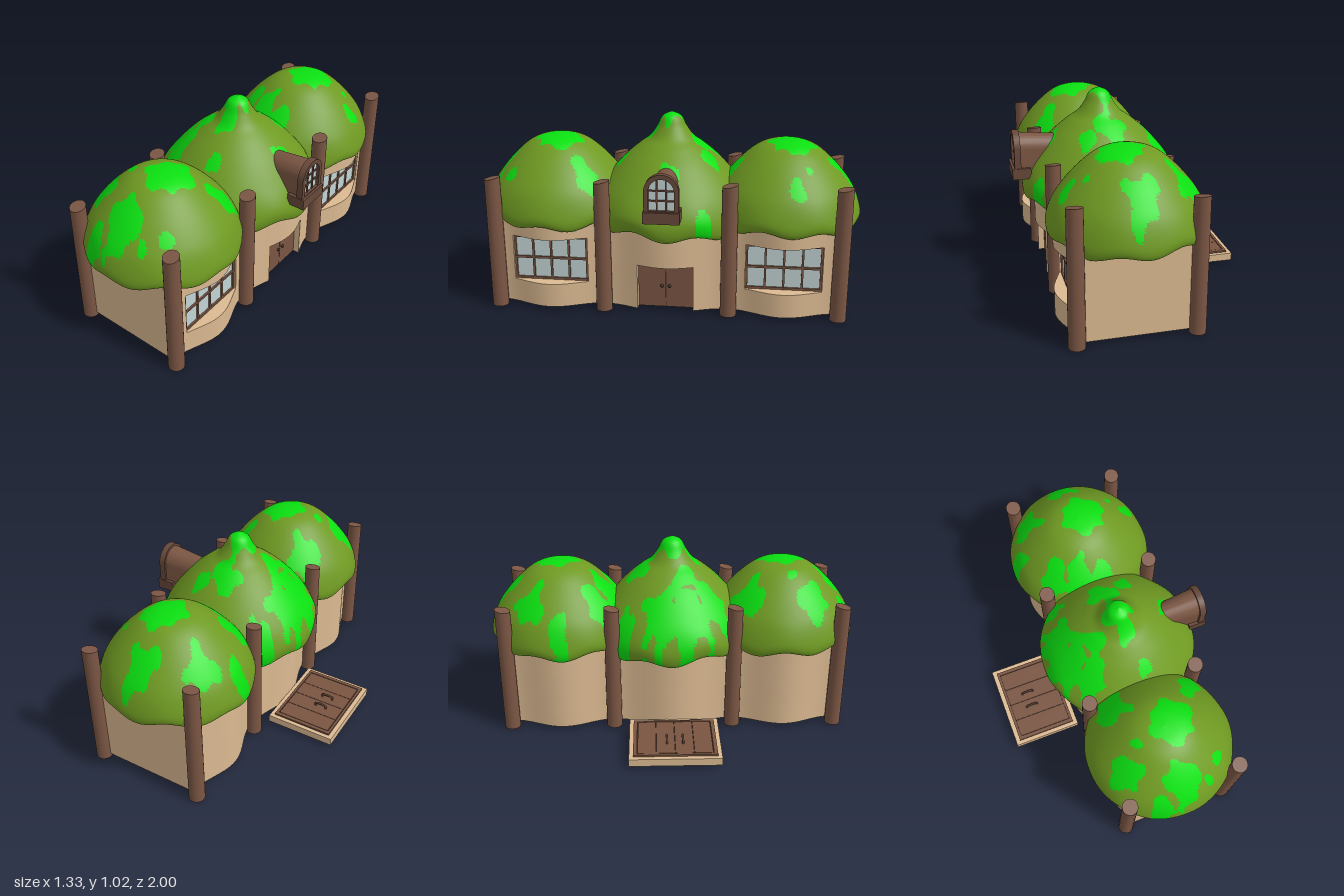
import * as THREE from 'three';
import { mergeVertices, toCreasedNormals } from 'three/addons/utils/BufferGeometryUtils.js';

const material = (name, color, side = THREE.FrontSide) => {
  const m = new THREE.MeshStandardMaterial({ color, side });
  m.name = name;
  return m;
};

export function createModel() {
  const moss = material('moss', 0x6f9a22, THREE.DoubleSide);
  const brightMoss = material('brightMoss', 0x0be011, THREE.DoubleSide);
  const plaster = material('plaster', 0xdcba92);
  const bark = material('bark', 0x7b5644);
  const wood = material('wood', 0x7a5542);
  const trim = material('trim', 0x67483a);
  const glass = material('glass', 0xc2d4d3);
  const iron = material('iron', 0x3a2b25);

  const model = new THREE.Group();
  model.name = 'mossHouse';
  // The row of rooms runs along a slightly turned axis
  const house = new THREE.Group();
  house.name = 'house';
  house.position.x = 0.09;
  house.rotation.y = Math.atan2(0.15, 0.6);
  model.add(house);

  const add = (parent, name, geo, mat, x = 0, y = 0, z = 0) => {
    const mesh = new THREE.Mesh(geo, mat);
    mesh.name = name;
    mesh.position.set(x, y, z);
    parent.add(mesh);
    return mesh;
  };
  const box = (parent, name, mat, w, h, d, x, y, z) =>
    add(parent, name, new THREE.BoxGeometry(w, h, d), mat, x, y, z);

  // Floor plan with bulging sides, optionally notched flat on the +x side
  function plan(half, notch) {
    const bulge = z => 0.28 + 0.075 * (0.5 + 0.5 * Math.cos(Math.PI * z / half));
    const right = [], left = [], n = 28;
    for (let i = 0; i <= n; i++) {
      const z = -half + 2 * half * i / n;
      if (!notch || Math.abs(z) > notch + 0.002) right.push([0.015 + bulge(z), z]);
      left.unshift([0.015 - bulge(z), z]);
    }
    if (notch) {
      const e = 0.015 + bulge(notch), at = right.findIndex(p => p[1] > 0);
      right.splice(at, 0, [e, -notch], [0.287, -notch], [0.287, notch], [e, notch]);
    }
    return new THREE.Shape([...right, ...left].map(p => new THREE.Vector2(p[0], p[1])));
  }
  function wallBand(parent, name, half, y0, y1, notch) {
    let g = new THREE.ExtrudeGeometry(plan(half, notch), { depth: y1 - y0, bevelEnabled: false });
    g.rotateX(-Math.PI / 2);
    g = toCreasedNormals(g, 0.5);
    add(parent, name, g, plaster, 0, y0, 0);
  }

  // Rooms
  for (const [name, z, half, y0, y1, notch] of [
    ['backRoom', -0.618, 0.29, 0.15, 0.4, 0.2],
    ['middleRoom', 0, 0.33, 0.02, 0.27, 0.148],
    ['frontRoom', 0.618, 0.29, 0.15, 0.4, 0.2]]) {
    const room = new THREE.Group();
    room.name = name;
    room.position.z = z;
    house.add(room);
    if (y0 > 0.03) wallBand(room, 'lowerWall', half, 0.02, y0, 0);
    wallBand(room, 'openingWall', half, y0, y1, notch);
    wallBand(room, 'upperWall', half, y1, 0.52, 0);
    if (z === 0) {
      // Double door with knobs
      for (const s of [-1, 1]) {
        box(room, 'doorLeaf', wood, 0.02, 0.246, 0.145, 0.294, 0.145, s * 0.0738);
        add(room, 'doorKnob', new THREE.SphereGeometry(0.009, 12, 8), iron, 0.311, 0.145, s * 0.02);
      }
      box(room, 'doorGap', iron, 0.008, 0.246, 0.004, 0.294, 0.145, 0);
    } else {
      // Window, four panes by two
      box(room, 'windowGlass', glass, 0.008, 0.245, 0.39, 0.29, 0.275, 0);
      for (let i = 0; i < 5; i++)
        box(room, 'windowBar', wood, 0.018, 0.25, 0.011, 0.293, 0.275, -0.193 + i * 0.0965);
      for (const y of [0.156, 0.275, 0.394])
        box(room, 'windowRail', wood, 0.02, 0.012, 0.396, 0.293, y, 0);
    }
  }

  // Tree-trunk posts with slightly slanted tops
  const postGeo = new THREE.CylinderGeometry(0.041, 0.043, 0.72, 24);
  const pp = postGeo.attributes.position;
  for (let i = 0; i < pp.count; i++)
    if (pp.getY(i) > 0) pp.setY(i, 0.357 - pp.getZ(i) * 0.2);
  postGeo.computeVertexNormals();
  for (const x of [-0.287, 0.315])
    for (const z of [-0.908, -0.332, 0.332, 0.908])
      add(house, 'post', postGeo, bark, x, 0.36, z);

  // Domed moss roofs: lathe with a wavy rim and bright patches [x, z, radius]
  function roof(name, cx, cz, profile, wave, phase, patches) {
    const curve = new THREE.SplineCurve(profile.map(p => new THREE.Vector2(...p)));
    const pts = curve.getPoints(64);
    pts.forEach(p => { p.x = Math.max(p.x, 0); });
    let g = new THREE.LatheGeometry(pts, 128);
    g.deleteAttribute('uv');
    g.deleteAttribute('normal');
    const p = g.attributes.position;
    for (let i = 0; i < p.count; i++) {
      const a = Math.atan2(p.getZ(i), p.getX(i)), y = p.getY(i);
      const w = 1 - THREE.MathUtils.smoothstep(y, 0.46, 0.68);
      p.setY(i, y + wave * w * (Math.sin(8 * a + phase) + 0.6 * Math.sin(3 * a + 2 * phase)));
    }
    g = mergeVertices(g, 1e-5);
    g.computeVertexNormals();
    // Sort faces into plain and bright moss
    const q = g.attributes.position, idx = g.index.array, plain = [], bright = [];
    for (let i = 0; i < idx.length; i += 3) {
      const f = [idx[i], idx[i + 1], idx[i + 2]];
      const x = cx + (q.getX(f[0]) + q.getX(f[1]) + q.getX(f[2])) / 3;
      const z = cz + (q.getZ(f[0]) + q.getZ(f[1]) + q.getZ(f[2])) / 3;
      const wob = 0.016 * Math.sin(47 * x + 19 * z) + 0.014 * Math.sin(61 * z - 33 * x + 1);
      const hit = patches.some(([px, pz, r]) => Math.hypot(x - px, z - pz) < r + wob * Math.min(1, r / 0.07));
      (hit ? bright : plain).push(...f);
    }
    g.setIndex([...plain, ...bright]);
    g.clearGroups();
    g.addGroup(0, plain.length, 0);
    g.addGroup(plain.length, bright.length, 1);
    add(model, name, g, [moss, brightMoss], cx, 0, cz);
  }
  const sideProfile = [[0.32, 0.53], [0.37, 0.475], [0.395, 0.48], [0.4, 0.525], [0.375, 0.605],
    [0.335, 0.675], [0.26, 0.765], [0.17, 0.845], [0.09, 0.88], [0, 0.89]];
  const middleProfile = [[0.34, 0.53], [0.395, 0.45], [0.425, 0.455], [0.432, 0.52], [0.4, 0.6],
    [0.34, 0.685], [0.26, 0.775], [0.18, 0.845], [0.12, 0.89], [0.08, 0.945], [0.05, 1.0], [0, 1.025]];
  roof('backRoof', -0.06, -0.6, sideProfile, 0.013, 1, [[-0.13, -0.88, 0.085], [-0.015, -0.635, 0.115],
    [-0.335, -0.68, 0.075], [0.24, -0.725, 0.04], [-0.22, -0.34, 0.08], [-0.08, -0.33, 0.075],
    [0.05, -0.32, 0.06], [0.13, -0.76, 0.018], [-0.4, -0.5, 0.05]]);
  roof('middleRoof', 0.09, 0, middleProfile, 0.017, 0.4, [[0.075, 0.01, 0.065], [0.03, -0.17, 0.075],
    [0.15, -0.23, 0.05], [-0.24, 0.02, 0.1], [-0.2, 0.16, 0.11], [-0.09, 0.26, 0.09], [-0.06, 0.1, 0.06],
    [0.37, -0.08, 0.05], [0.42, -0.31, 0.045], [-0.25, -0.18, 0.055], [0.11, 0.09, 0.05], [0.2, 0.25, 0.035]]);
  roof('frontRoof', 0.24, 0.6, sideProfile, 0.013, 3, [[0.29, 0.58, 0.115], [0.03, 0.78, 0.075],
    [0.32, 0.87, 0.095], [0, 0.44, 0.09], [0.42, 0.36, 0.07], [0.2, 0.98, 0.06], [0.5, 0.75, 0.03],
    [0.1, 0.66, 0.03], [0.45, 0.85, 0.025]]);

  // Arched dormer window above the door
  const dormer = new THREE.Group();
  dormer.name = 'dormer';
  house.add(dormer);
  const arch = (Type, w, y0, top) => {
    const s = new Type();
    s.moveTo(-w, y0);
    s.lineTo(w, y0);
    s.lineTo(w, top - w);
    s.absarc(0, top - w, w, 0, Math.PI, false);
    s.closePath();
    return s;
  };
  const archSlab = (shape, depth) =>
    new THREE.ExtrudeGeometry(shape, { depth, bevelEnabled: false, curveSegments: 24 });
  let body = archSlab(arch(THREE.Shape, 0.078, 0.6, 0.8), 0.21);
  const bp = body.attributes.position;
  for (let i = 0; i < bp.count; i++)
    if (bp.getZ(i) < 0.01) {
      bp.setX(i, bp.getX(i) * 0.8);
      bp.setY(i, bp.getY(i) - 0.02);
    }
  body = toCreasedNormals(body.rotateY(Math.PI / 2), 0.5);
  add(dormer, 'dormerBody', body, wood, 0.25, 0, 0);
  const ring = arch(THREE.Shape, 0.088, 0.6, 0.812);
  ring.holes.push(arch(THREE.Path, 0.064, 0.625, 0.788));
  add(dormer, 'dormerFrame', toCreasedNormals(archSlab(ring, 0.035).rotateY(Math.PI / 2), 0.5), trim, 0.447, 0, 0);
  add(dormer, 'dormerGlass', archSlab(arch(THREE.Shape, 0.066, 0.62, 0.79), 0.006).rotateY(Math.PI / 2), glass, 0.459, 0, 0);
  for (const z of [-0.023, 0.023])
    box(dormer, 'dormerBar', trim, 0.012, 0.16, 0.008, 0.466, 0.7, z);
  for (const y of [0.675, 0.727])
    box(dormer, 'dormerRail', trim, 0.012, 0.008, 0.128, 0.466, y, 0);
  box(dormer, 'dormerSill', trim, 0.1, 0.06, 0.185, 0.445, 0.59, 0);

  // Cellar hatch on the far side
  const hatch = new THREE.Group();
  hatch.name = 'cellarHatch';
  hatch.position.set(-0.53, 0, 0);
  house.add(hatch);
  box(hatch, 'hatchBase', plaster, 0.385, 0.042, 0.49, 0, 0.036, 0);
  box(hatch, 'hatchBed', iron, 0.335, 0.004, 0.445, 0, 0.058, 0);
  for (let i = 0; i < 4; i++)
    box(hatch, 'hatchPlank', wood, 0.3, 0.01, 0.098, 0, 0.061, -0.15 + i * 0.1);
  for (const s of [-1, 1]) {
    box(hatch, 'hatchEdge', wood, 0.335, 0.011, 0.02, 0, 0.0615, s * 0.2125);
    box(hatch, 'hatchEdge', wood, 0.014, 0.011, 0.445, s * 0.161, 0.0615, 0);
    const path = new THREE.CatmullRomCurve3([[-0.032, 0.06], [-0.029, 0.082], [0.029, 0.082], [0.032, 0.06]]
      .map(([x, y]) => new THREE.Vector3(x, y, 0)));
    add(hatch, 'hatchHandle', new THREE.TubeGeometry(path, 20, 0.006, 8), trim, -0.03, 0, s * 0.043);
  }
  return model;
}
